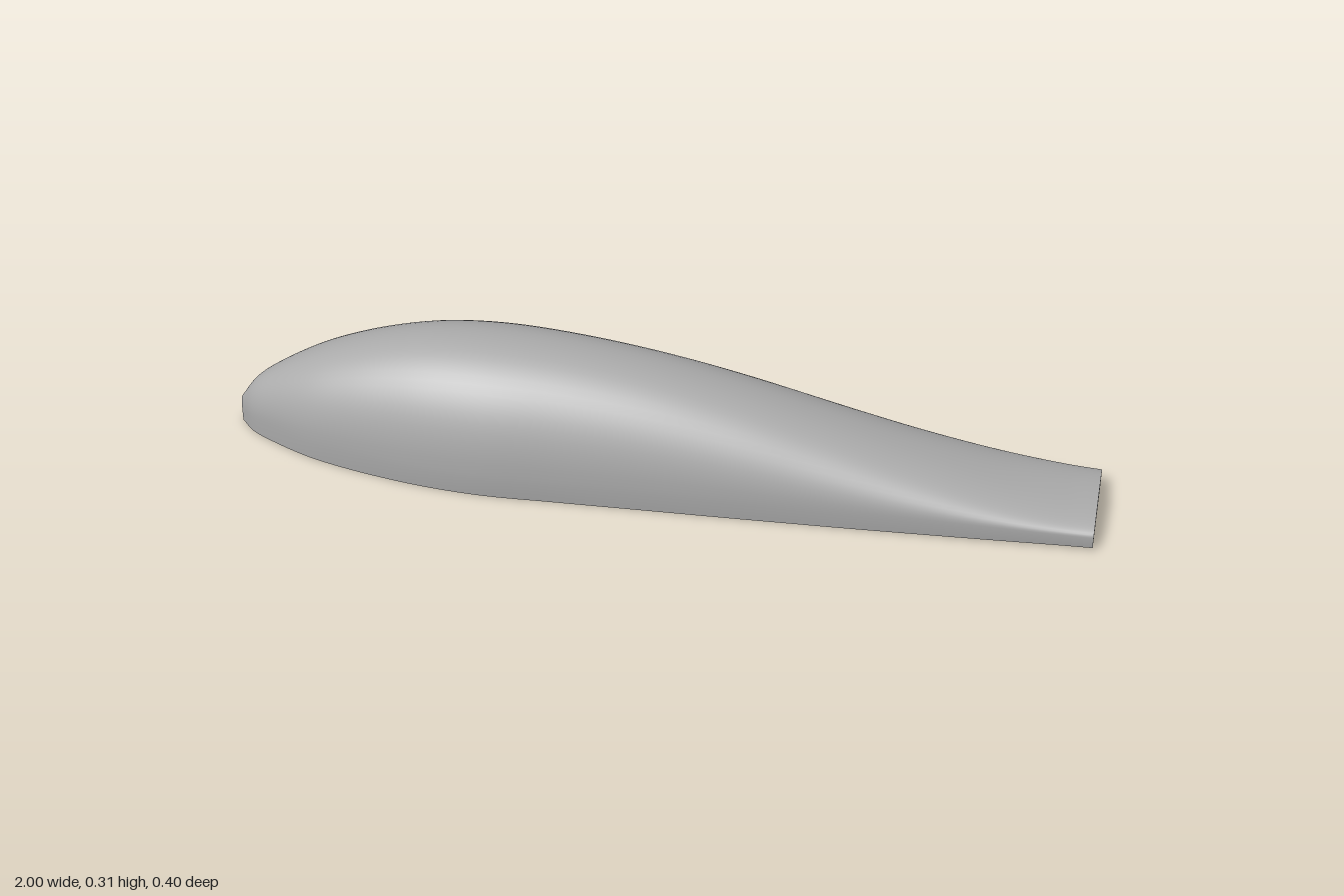
import * as THREE from 'three';

// Stations along the body: x, top height, half width, height of the widest point, underside height
const stations = [
  [-1, 0.063, 0.01, 0.03, 0], [-0.96, 0.118, 0.052, 0.04, 0], [-0.9, 0.163, 0.086, 0.05, 0],
  [-0.8, 0.218, 0.13, 0.055, 0], [-0.7, 0.257, 0.158, 0.06, 0], [-0.6, 0.285, 0.178, 0.06, 0],
  [-0.5, 0.302, 0.192, 0.06, 0], [-0.37, 0.309, 0.199, 0.06, 0], [-0.2, 0.302, 0.191, 0.06, 0],
  [0, 0.277, 0.181, 0.06, 0], [0.2, 0.236, 0.171, 0.057, 0], [0.4, 0.184, 0.16, 0.052, 0],
  [0.6, 0.131, 0.15, 0.047, 0.002], [0.8, 0.086, 0.14, 0.041, 0.005],
  [0.93, 0.069, 0.133, 0.037, 0.007], [1, 0.066, 0.13, 0.036, 0.008],
];
const STEPS = 90, ARC = 32;

// Flat-bottomed section: short side walls, then a slightly squared arch
function section([x, top, half, mid, base]) {
  const points = [];
  for (let k = 0; k < 4; k++) {
    const t = k / 4;
    points.push([x, base + (mid - base) * t, half * (1 - 0.018 * (1 - t) ** 2)]);
  }
  const power = 2 / 2.15;
  for (let k = 0; k <= ARC; k++) {
    const a = (Math.PI * k) / ARC, c = Math.cos(a);
    points.push([x, mid + (top - mid) * Math.abs(Math.sin(a)) ** power,
      half * Math.sign(c) * Math.abs(c) ** power]);
  }
  for (let k = 3; k >= 0; k--) points.push([x, points[k][1], -points[k][2]]);
  return points;
}

// Smooth stations along x
function smoothStations() {
  const path = (col) => new THREE.CatmullRomCurve3(
    stations.map((s) => new THREE.Vector3(s[0], s[col], s[col + 1])));
  const first = path(1), second = path(3);
  return Array.from({ length: STEPS + 1 }, (_, i) => {
    const p = first.getPoint(i / STEPS), q = second.getPoint(i / STEPS);
    return [p.x, p.y, p.z, q.y, Math.max(0, q.z)];
  });
}

function loft(rows) {
  const n = rows[0].length, index = [];
  for (let i = 0; i < rows.length - 1; i++) {
    for (let j = 0; j < n - 1; j++) {
      const a = i * n + j, b = a + n;
      index.push(a, b, b + 1, a, b + 1, a + 1);
    }
  }
  const geometry = new THREE.BufferGeometry();
  geometry.setAttribute('position', new THREE.Float32BufferAttribute(rows.flat(2), 3));
  geometry.setIndex(index);
  geometry.computeVertexNormals();
  return geometry;
}

function cap(ring) {
  const geometry = new THREE.BufferGeometry(), index = [];
  for (let j = 1; j < ring.length - 1; j++) index.push(0, j, j + 1);
  geometry.setAttribute('position', new THREE.Float32BufferAttribute(ring.flat(), 3));
  geometry.setIndex(index);
  geometry.computeVertexNormals();
  return geometry;
}

export function createModel() {
  const group = new THREE.Group();
  group.name = 'taperedBody';
  const grey = new THREE.MeshStandardMaterial({ color: 0xaaaaaa });
  grey.name = 'grey';
  const add = (name, geometry) => {
    const mesh = new THREE.Mesh(geometry, grey);
    mesh.name = name;
    group.add(mesh);
  };

  const rows = smoothStations().map(section);
  add('upperShell', loft(rows));
  // Flat underside between the two lower edges
  add('underside', loft(rows.map((r) => [r[r.length - 1], r[0]])));
  // Blunt nose and cut tail
  add('noseFace', cap(rows[0]));
  add('tailFace', cap([...rows[STEPS]].reverse()));
  return group;
}
